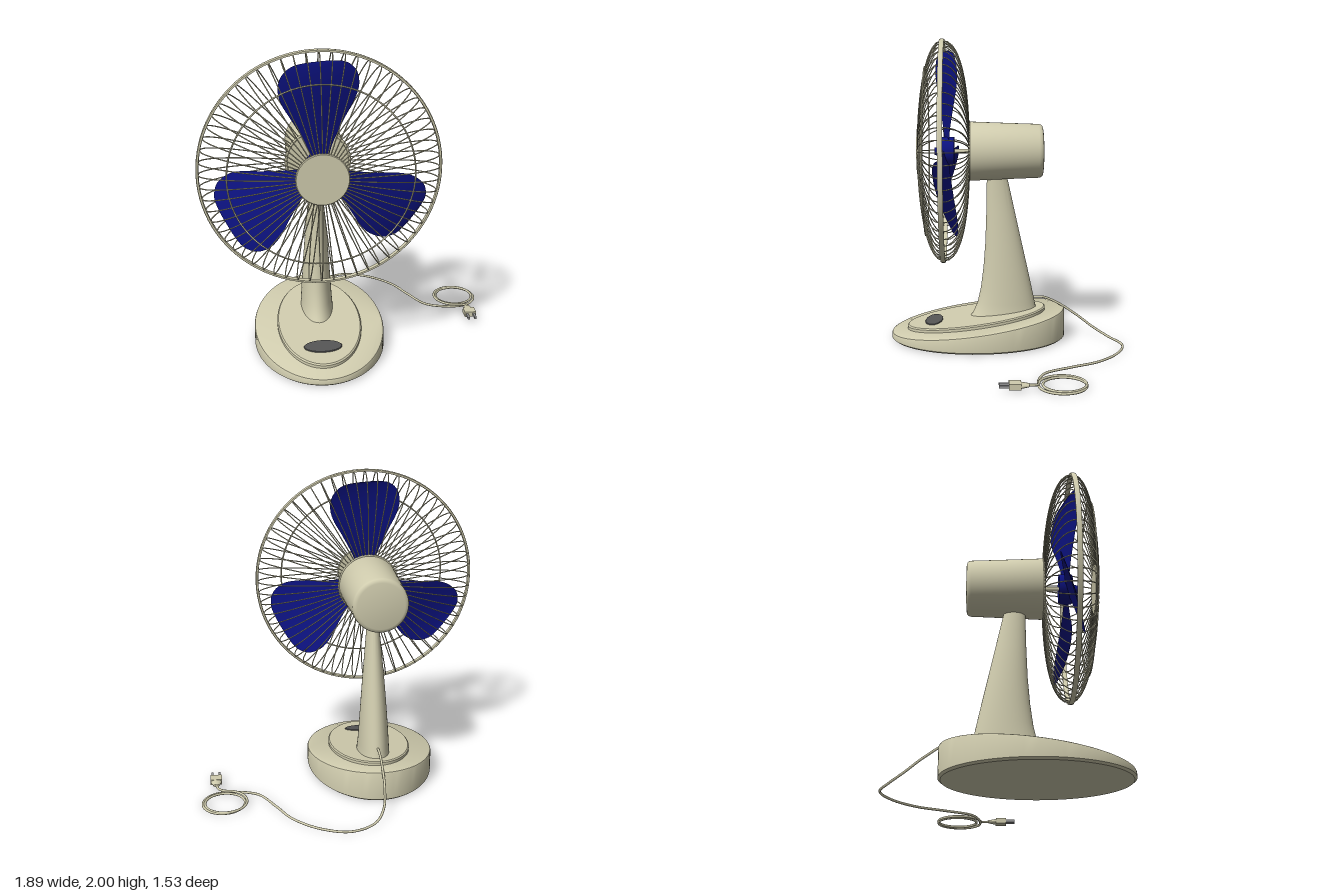
import * as THREE from 'three';
import { toCreasedNormals } from 'three/addons/utils/BufferGeometryUtils.js';

const CREAM = new THREE.MeshStandardMaterial({ color: 0xd0ccae });
const CREAM_THIN = new THREE.MeshStandardMaterial({ color: 0xd0ccae, side: THREE.DoubleSide });
const BLUE = new THREE.MeshStandardMaterial({ color: 0x0c1280, side: THREE.DoubleSide });
const DARK = new THREE.MeshStandardMaterial({ color: 0x555555 });
const METAL = new THREE.MeshStandardMaterial({ color: 0x999999 });

const AXIS_X = -0.217, AXIS_Y = 1.265, RIM_Z = 0.41, RIM_R = 0.722;
const v3 = (x, y, z) => new THREE.Vector3(x, y, z);
const slopeY = z => 0.153 - 0.134 * z; // sloping top of the base

function add(parent, name, geometry, material = CREAM) {
  const mesh = new THREE.Mesh(geometry, material);
  mesh.name = name;
  parent.add(mesh);
  return mesh;
}

// Closed solid through rings of points, bottom to top; ring(angle) -> [x, y, z]
function loft(rings, sides = 64) {
  const pos = [], index = [], last = (rings.length - 1) * sides;
  for (const ring of rings)
    for (let j = 0; j < sides; j++) pos.push(...ring(j / sides * Math.PI * 2));
  for (let i = 0; i < rings.length - 1; i++)
    for (let j = 0; j < sides; j++) {
      const a = i * sides + j, b = i * sides + (j + 1) % sides;
      index.push(a, a + sides, b, b, a + sides, b + sides);
    }
  for (let j = 1; j < sides - 1; j++) {
    index.push(0, j, j + 1);
    index.push(last, last + j + 1, last + j);
  }
  const g = new THREE.BufferGeometry();
  g.setAttribute('position', new THREE.Float32BufferAttribute(pos, 3));
  g.setIndex(index);
  return toCreasedNormals(g, 0.6);
}

// Horizontal ellipse whose height follows heightAt(z)
const ellipse = (rx, rz, cz, heightAt) => t => {
  const z = cz + rz * Math.sin(t);
  return [AXIS_X + rx * Math.cos(t), heightAt(z), z];
};

// Oval plate lying on the slope, between two offsets above it
const slopedPlate = (rx, rz, cz, from, to, bevel) => loft([
  ellipse(rx, rz, cz, z => slopeY(z) + from),
  ellipse(rx, rz, cz, z => slopeY(z) + to - bevel),
  ellipse(rx - bevel, rz - bevel, cz, z => slopeY(z) + to),
]);

// Turned part along z, from [radius, z] pairs ordered back to front
function turned(points, sides = 48) {
  const g = new THREE.LatheGeometry(points.map(([r, z]) => new THREE.Vector2(r, z)), sides);
  return toCreasedNormals(g.rotateX(Math.PI / 2), 0.6);
}

const tube = (points, radius, segments, sides) =>
  new THREE.TubeGeometry(new THREE.CatmullRomCurve3(points), segments, radius, sides);

function createBase() {
  const base = new THREE.Group();
  base.name = 'stand';
  add(base, 'base', loft([
    ellipse(0.405, 0.568, 0.182, () => 0),
    ellipse(0.42, 0.583, 0.182, () => 0.012),
    ellipse(0.42, 0.583, 0.182, z => slopeY(z) - 0.014),
    ellipse(0.416, 0.579, 0.182, z => slopeY(z) - 0.005),
    ellipse(0.406, 0.569, 0.182, slopeY),
  ], 80));
  add(base, 'basePlate', slopedPlate(0.272, 0.465, 0.195, -0.01, 0.026, 0.008));
  add(base, 'switchOval', slopedPlate(0.12, 0.06, 0.48, 0, 0.032, 0.003), DARK);
  // Column: [height, front z, back z, half width]
  const sections = [[0.12, 0.25, -0.232, 0.118], [0.17, 0.215, -0.214, 0.106], [0.24, 0.185, -0.2, 0.101],
    [0.34, 0.163, -0.179, 0.095], [0.48, 0.145, -0.149, 0.086], [0.65, 0.132, -0.111, 0.074],
    [0.85, 0.125, -0.067, 0.057], [1.02, 0.122, -0.03, 0.042], [1.15, 0.12, 0, 0.036]];
  add(base, 'column', loft(sections.map(([y, front, back, w]) =>
    ellipse(w, (front - back) / 2, (front + back) / 2, () => y)), 40));
  return base;
}

function createGuard() {
  const guard = new THREE.Group();
  guard.name = 'guard';
  // Wire profile: quarter super-ellipse from the rim in to an inner radius
  const wire = (inner, depth, power) => {
    const start = Math.acos(Math.pow(inner / RIM_R, power / 2));
    const pts = [];
    for (let i = 0; i <= 10; i++) {
      const t = start * i / 10;
      pts.push(v3(RIM_R * Math.pow(Math.cos(t), 2 / power), 0, depth * Math.pow(Math.sin(t), 2 / power)));
    }
    return tube(pts, 0.0038, 16, 5);
  };
  const front = wire(0.14, 0.163, 2.1), back = wire(0.185, -0.175, 2.4);
  const count = 60;
  for (let i = 0; i < count; i++) {
    const angle = i / count * Math.PI * 2;
    add(guard, 'frontWire', front).rotation.z = angle;
    add(guard, 'backWire', back).rotation.z = angle;
  }
  // Rim band, support ring and the ring around the motor
  add(guard, 'rim', turned([[0.72, -0.016], [0.731, -0.016], [0.735, -0.008], [0.735, 0.008],
    [0.731, 0.016], [0.72, 0.016], [0.717, 0], [0.72, -0.016]], 96), CREAM_THIN);
  add(guard, 'frontRing', new THREE.TorusGeometry(0.555, 0.005, 6, 80)).position.z = 0.113;
  add(guard, 'backRing', new THREE.TorusGeometry(0.195, 0.008, 6, 60)).position.z = -0.172;
  add(guard, 'frontCap', turned([[0, 0.148], [0.155, 0.148], [0.16, 0.153], [0.16, 0.163],
    [0.155, 0.168], [0, 0.168]]), CREAM_THIN);
  guard.position.z = RIM_Z;
  return guard;
}

// Blade pointing up; both edges run from the hub and meet at the tip
function bladeGeometry() {
  const edge = new THREE.CatmullRomCurve3([v3(0.05, 0.06, 0), v3(0.08, 0.155, 0), v3(0.165, 0.32, 0),
    v3(0.222, 0.42, 0), v3(0.244, 0.5, 0), v3(0.226, 0.585, 0), v3(0.165, 0.638, 0), v3(0.08, 0.654, 0), v3(0, 0.656, 0)]);
  const g = new THREE.PlaneGeometry(2, 1, 14, 28);
  const p = g.attributes.position;
  for (let i = 0; i < p.count; i++) {
    const u = p.getX(i), e = edge.getPoint(THREE.MathUtils.clamp(p.getY(i) + 0.5, 0, 1));
    const x = u * e.x;
    p.setXYZ(i, x, e.y, -0.31 * x + 0.3 * e.x * e.x * (1 - u * u));
  }
  g.computeVertexNormals();
  return g;
}

function createPropeller() {
  const propeller = new THREE.Group();
  propeller.name = 'propeller';
  const blade = bladeGeometry();
  for (let i = 0; i < 3; i++) add(propeller, 'blade', blade, BLUE).rotation.z = i * Math.PI * 2 / 3;
  add(propeller, 'hub', turned([[0, -0.05], [0.095, -0.05], [0.095, 0.03], [0.085, 0.036], [0.03, 0.036],
    [0.025, 0.08], [0, 0.08]]), BLUE);
  add(propeller, 'shaft', new THREE.CylinderGeometry(0.015, 0.015, 0.16, 16).rotateX(Math.PI / 2)).position.z = -0.1;
  propeller.position.z = 0.385;
  return propeller;
}

function createCord() {
  const cord = new THREE.Group();
  cord.name = 'powerCord';
  const path = [v3(-0.217, 0.27, -0.18), v3(-0.217, 0.268, -0.26), v3(-0.216, 0.225, -0.36), v3(-0.21, 0.14, -0.49),
    v3(-0.185, 0.06, -0.6), v3(-0.12, 0.016, -0.69), v3(0.04, 0.009, -0.762), v3(0.22, 0.009, -0.705),
    v3(0.38, 0.009, -0.56), v3(0.47, 0.009, -0.39), v3(0.57, 0.009, -0.22), v3(0.68, 0.009, -0.17)];
  // Two flat loops, spiralling inwards
  for (let i = 0; i <= 32; i++) {
    const t = Math.PI / 2 - i / 32 * Math.PI * 4, r = 0.15 - 0.025 * Math.sin(i / 32 * Math.PI);
    path.push(v3(0.79 + r * Math.cos(t), 0.009 + i * 0.0004, -0.31 + r * Math.sin(t)));
  }
  path.push(v3(0.825, 0.028, -0.145), v3(0.84, 0.033, -0.09));
  add(cord, 'cable', tube(path, 0.008, 260, 8));
  // Plug: tapered grip, body and two prongs
  const grip = add(cord, 'plugGrip', new THREE.CylinderGeometry(0.036, 0.02, 0.05, 20).rotateX(Math.PI / 2));
  grip.scale.y = 0.5;
  grip.position.set(0.84, 0.033, -0.078);
  add(cord, 'plugBody', new THREE.BoxGeometry(0.076, 0.036, 0.07)).position.set(0.84, 0.033, -0.02);
  for (const side of [-1, 1])
    add(cord, 'prong', new THREE.BoxGeometry(0.014, 0.016, 0.06), METAL).position.set(0.84 + side * 0.023, 0.033, 0.043);
  return cord;
}

export function createModel() {
  const fan = new THREE.Group();
  fan.name = 'deskFan';
  const head = new THREE.Group();
  head.name = 'head';
  head.position.set(AXIS_X, AXIS_Y, 0);
  add(head, 'motorHousing', turned([[0, -0.25], [0.15, -0.25], [0.165, -0.246], [0.174, -0.236],
    [0.178, -0.22], [0.186, 0], [0.195, 0.225], [0.192, 0.238], [0, 0.238]], 64));
  head.add(createGuard(), createPropeller());
  fan.add(createBase(), head, createCord());
  return fan;
}
